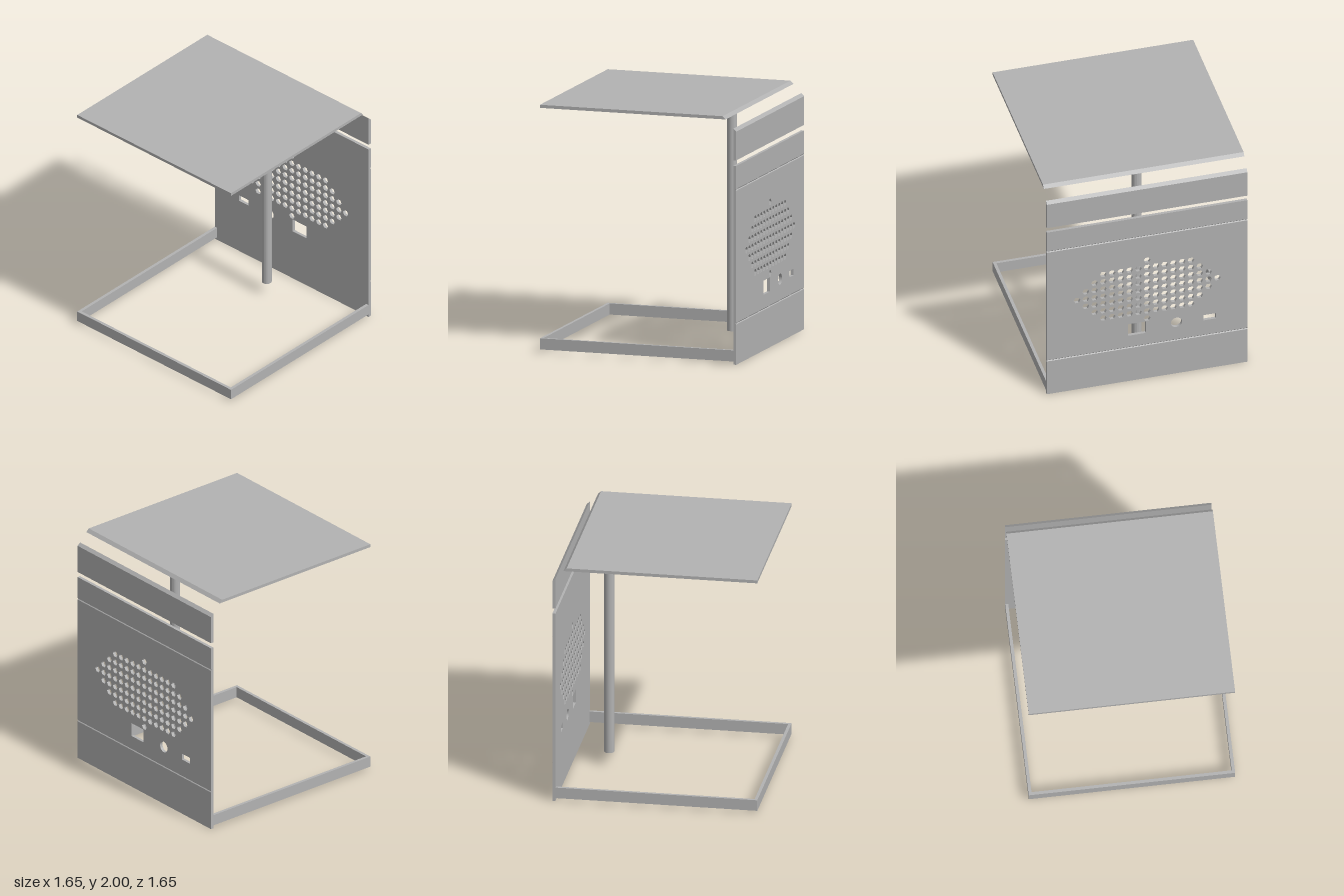
import * as THREE from 'three';
import { toCreasedNormals } from 'three/addons/utils/BufferGeometryUtils.js';

const HALF = 0.825;            // half width of the cabinet
const BACK = -0.825;           // outer face of the back wall
const WALL = 0.025;            // sheet thickness
const INNER = BACK + WALL;

export function createModel() {
  const model = new THREE.Group();
  model.name = 'openCabinet';
  const grey = new THREE.MeshStandardMaterial({ color: 0xb2b2b2 });
  grey.name = 'plainGrey';

  const add = (name, geometry, parent = model) => {
    const mesh = new THREE.Mesh(geometry, grey);
    mesh.name = name;
    parent.add(mesh);
    return mesh;
  };
  const polygon = (pts) => new THREE.Shape(pts.map(([x, y]) => new THREE.Vector2(x, y)));
  const extrude = (shape, depth) =>
    new THREE.ExtrudeGeometry(shape, { depth, bevelEnabled: false, curveSegments: 20 });

  // Side profile of [z, y] points, swept across the full width
  const sweep = (pts) => extrude(polygon(pts.map(([z, y]) => [-z, y])), HALF * 2)
    .rotateY(Math.PI / 2).translate(-HALF, 0, 0);

  // Roof with a mitred rear edge
  add('roof', sweep([[HALF, 1.975], [HALF, 2], [-0.71, 2], [-0.735, 1.975]]));

  // Narrow upper back strip with a mitred top edge
  add('upperBackStrip', sweep([[INNER, 1.65], [INNER, 1.905], [BACK, 1.882], [BACK, 1.65]]));

  // Back wall: two grooved bands around a perforated middle
  const backWall = new THREE.Group();
  backWall.name = 'backWall';
  model.add(backWall);
  const groovedBand = (y0, y1, groove) => sweep([
    [INNER, y0], [INNER, y1], [BACK, y1],
    [BACK, groove + 0.007], [BACK + 0.006, groove], [BACK, groove - 0.007], [BACK, y0],
  ]);
  add('lowerBand', groovedBand(0, 0.4, 0.332), backWall);
  add('upperBand', groovedBand(1.35, 1.605, 1.412), backWall);

  const middle = polygon([[-HALF, 0.4], [HALF, 0.4], [HALF, 1.35], [-HALF, 1.35]]);
  const cutPolygon = (pts) =>
    middle.holes.push(new THREE.Path(pts.map(([x, y]) => new THREE.Vector2(x, y))));
  const cutRect = (x0, x1, y0, y1) => cutPolygon([[x0, y0], [x0, y1], [x1, y1], [x1, y0]]);

  // Hexagonal vent holes on a square grid
  const PITCH = 0.0721, VENT_Y = 0.883, HEX = 0.0285;
  const cutHex = (col, row) => cutPolygon(Array.from({ length: 6 }, (_, k) => {
    const a = -k * Math.PI / 3;
    return [col * PITCH + HEX * Math.cos(a), VENT_Y + row * PITCH + HEX * Math.sin(a)];
  }));
  const reach = [8, 7, 6, 5, 0];
  for (let row = -4; row <= 4; row++) {
    const n = reach[Math.abs(row)];
    for (let col = -n; col <= n; col++) cutHex(col, row);
  }

  // Connector openings
  cutRect(-0.566, -0.464, 0.481, 0.533);
  cutRect(0.01, 0.159, 0.45, 0.564);
  const round = new THREE.Path();
  round.absarc(-0.241, 0.506, 0.046, 0, Math.PI * 2, true);
  middle.holes.push(round);
  add('ventPanel', extrude(middle, WALL).translate(0, 0, BACK), backWall);

  // Three-sided base frame, open towards the back wall
  const inX = HALF - WALL;
  const frame = polygon([
    [-HALF, -HALF], [HALF, -HALF], [HALF, -INNER], [inX, -INNER],
    [inX, -inX], [-inX, -inX], [-inX, -INNER], [-HALF, -INNER],
  ]);
  add('baseFrame', extrude(frame, 0.09).rotateX(-Math.PI / 2).translate(0, 0.025, 0));

  // Hollow upright pole
  const [ri, ro, y0, y1] = [0.021, 0.04, 0.115, 1.95];
  const ring = [[ri, y0], [ro, y0], [ro, y1], [ri, y1], [ri, y0]]
    .map(([x, y]) => new THREE.Vector2(x, y));
  add('pole', toCreasedNormals(new THREE.LatheGeometry(ring, 48), 0.6)).position.z = -0.505;

  return model;
}
